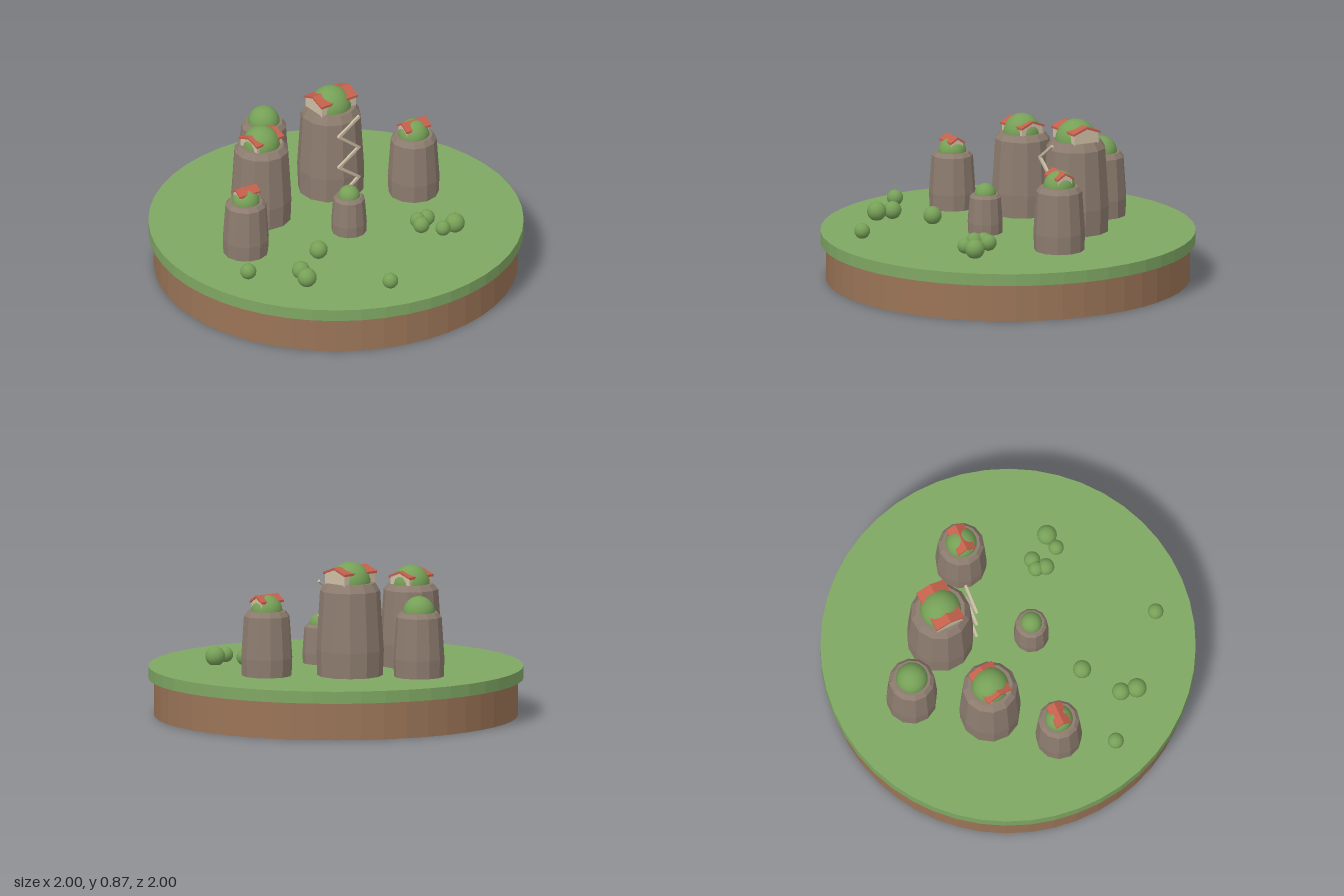
import * as THREE from 'three';

const mat = (name, color) => {
  const m = new THREE.MeshStandardMaterial({ color });
  m.name = name;
  return m;
};

export function createModel() {
  const model = new THREE.Group();
  const grass = mat('grass', 0x7fa763);
  const soil = mat('soil', 0x9a7457);
  const rock = mat('rock', 0x8d7c6f);
  const foliage = mat('foliage', 0x76a057);
  const plaster = mat('plaster', 0xcfc0a6);
  const tile = mat('roof tile', 0xc4604c);
  const plank = mat('path wood', 0xc6baa2);
  const GROUND = 0.265;

  const add = (parent, name, geometry, material, x = 0, y = 0, z = 0) => {
    const mesh = new THREE.Mesh(geometry, material);
    mesh.name = name;
    mesh.position.set(x, y, z);
    parent.add(mesh);
    return mesh;
  };
  const faceted = (geometry) => {
    const g = geometry.toNonIndexed();
    g.computeVertexNormals();
    return g;
  };

  // Round island: soil slab under a wider grass slab
  add(model, 'soilBase', faceted(new THREE.CylinderGeometry(0.97, 0.97, 0.2, 48)), soil, 0, 0.1, 0);
  add(model, 'grassTop', faceted(new THREE.CylinderGeometry(1, 1, 0.065, 48)), grass, 0, 0.2325, 0);

  // Gabled prism running along x from a cross-section of [z, y] points
  const prism = (points, length) => {
    const shape = new THREE.Shape(points.map(([a, b]) => new THREE.Vector2(a, b)));
    const g = new THREE.ExtrudeGeometry(shape, { depth: length, bevelEnabled: false });
    return g.translate(0, 0, -length / 2).rotateY(Math.PI / 2);
  };

  // House with its floor at y = 0
  const house = (length, width, eave, ridge) => {
    const group = new THREE.Group();
    group.name = 'house';
    const w = width / 2 - 0.008, e = width / 2, t = 0.012;
    add(group, 'houseWalls', prism([[-w, -0.01], [w, -0.01], [w, eave], [0, ridge - t], [-w, eave]], length - 0.016), plaster);
    add(group, 'houseRoof', prism([[-e, eave - 0.004], [0, ridge - t], [e, eave - 0.004], [e, eave + t - 0.004], [0, ridge], [-e, eave + t - 0.004]], length), tile);
    return group;
  };

  // Rock pillars with a leafy dome, some with a house set through the dome
  const pillars = [
    { x: 0.27, z: -0.24, r: 0.18, shoulder: 0.72, top: 0.762, dome: 0.11, house: [0.24, 0.165, 0.052, 0.09], turn: -17 },
    { x: -0.21, z: -0.34, r: 0.165, shoulder: 0.675, top: 0.705, dome: 0.1, house: [0.195, 0.15, 0.038, 0.075], turn: -11 },
    { x: -0.565, z: -0.175, r: 0.124, shoulder: 0.55, top: 0.57, dome: 0.075, house: [0.13, 0.085, 0.052, 0.086], turn: -20 },
    { x: 0.5, z: 0.14, r: 0.138, shoulder: 0.585, top: 0.612, dome: 0.084, house: [0.155, 0.1, 0.048, 0.087], turn: -20 },
    { x: -0.05, z: 0.125, r: 0.095, shoulder: 0.46, top: 0.475, dome: 0.058 },
    { x: 0.135, z: -0.585, r: 0.137, shoulder: 0.585, top: 0.61, dome: 0.085 },
  ];
  pillars.forEach((p, i) => {
    const group = new THREE.Group();
    group.name = 'pillar' + (i + 1);
    group.position.set(p.x, 0, p.z);
    model.add(group);
    const profile = [
      [p.r * 0.97, GROUND - 0.01], [p.r, GROUND + (p.shoulder - GROUND) * 0.3],
      [p.r * 0.89, p.shoulder], [p.r * 0.74, p.top], [0, p.top],
    ].map(([a, b]) => new THREE.Vector2(a, b));
    const column = add(group, 'rockColumn', faceted(new THREE.LatheGeometry(profile, 12)), rock);
    column.rotation.y = i * 0.4;
    add(group, 'leafyDome', new THREE.SphereGeometry(p.dome, 24, 16), foliage, 0, p.top, 0);
    if (p.house) {
      const home = house(...p.house);
      home.position.y = p.top;
      home.rotation.y = THREE.MathUtils.degToRad(p.turn);
      group.add(home);
    }
  });

  // Zigzag path climbing the front of the tallest pillar
  const stops = [0.3, 0.39, 0.485, 0.57, 0.67, 0.755].map((y, i) => (
    i % 2 ? new THREE.Vector3(0.27, y, -0.052) : new THREE.Vector3(0.147, y, -0.092)));
  for (let i = 0; i + 1 < stops.length; i++) {
    const a = stops[i], b = stops[i + 1];
    const flight = add(model, 'pathFlight', new THREE.BoxGeometry(0.014, 0.014, a.distanceTo(b) + 0.01), plank);
    flight.position.copy(a).lerp(b, 0.5);
    flight.lookAt(b);
  }

  // Round bushes: x, z, radius
  const bushes = [
    [-0.8, 0.02, 0.043], [-0.62, 0.235, 0.048], [-0.665, 0.31, 0.052], [-0.385, 0.175, 0.049], [-0.425, 0.685, 0.042],
    [0.195, 0.4, 0.043], [0.245, 0.42, 0.044], [0.165, 0.445, 0.045], [0.205, 0.56, 0.041], [0.29, 0.575, 0.053],
  ];
  for (const [x, z, r] of bushes) {
    add(model, 'bush', new THREE.SphereGeometry(r, 16, 12), foliage, x, 0.31, z);
  }
  return model;
}
